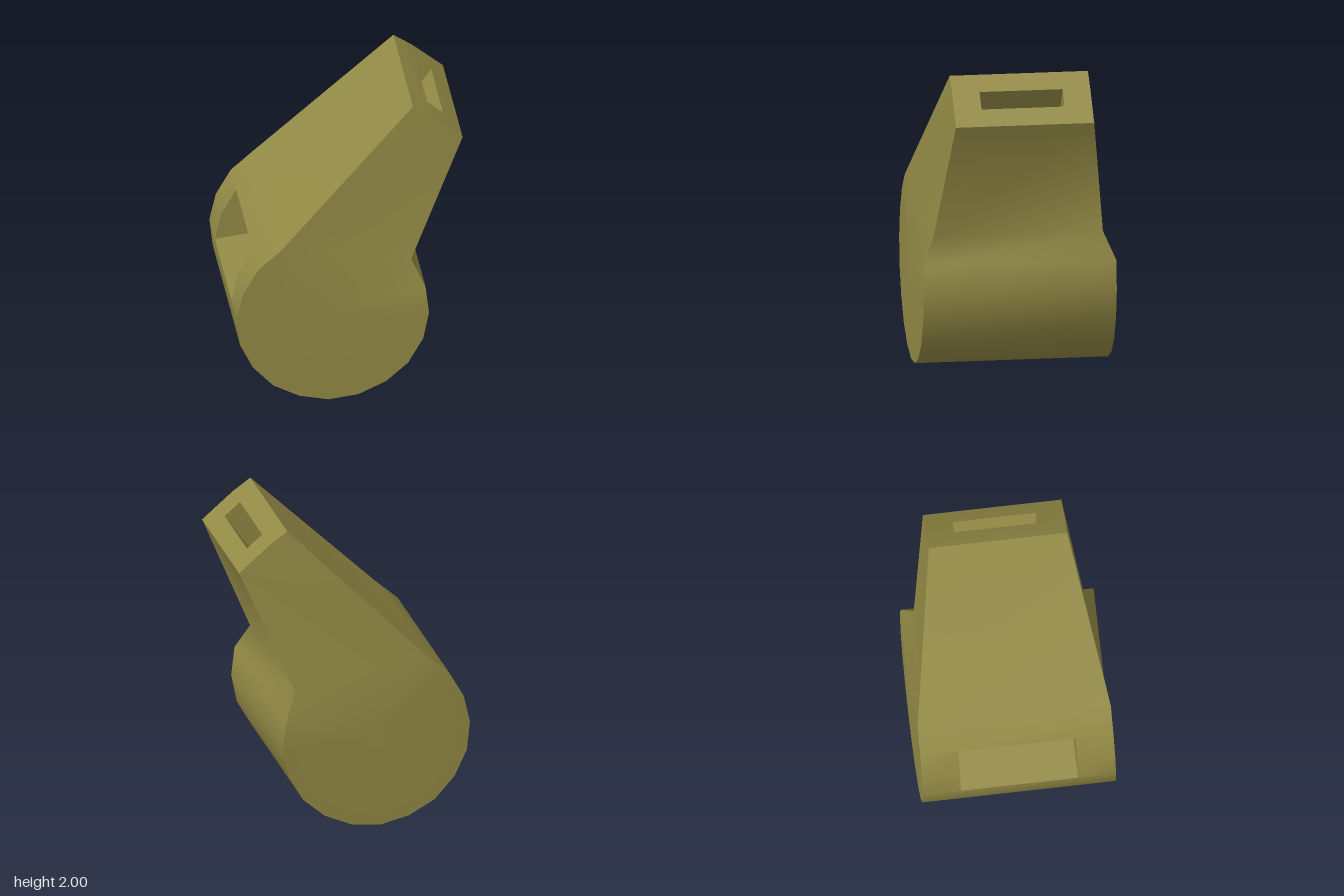
import * as THREE from 'three';
import { toCreasedNormals } from 'three/addons/utils/BufferGeometryUtils.js';

// Side outline, counter-clockwise: [x, y, half width]
const W = 0.61, T = 0.437;
const neckTop = [-0.45, 1.12, W];
const throat = [0.385, 0.945, 0.535];
const chamber = [
  [-0.595, 0.99, W], [-0.69, 0.82, W], [-0.73, 0.64, W], [-0.71, 0.45, W], [-0.63, 0.28, W],
  [-0.5, 0.135, W], [-0.335, 0.045, W], [-0.15, 0.003, W], [0.04, 0.025, W], [0.215, 0.105, W],
  [0.355, 0.23, W], [0.45, 0.4, W], [0.487, 0.585, W], [0.465, 0.775, W],
];
const tip = [[0.724, 1.75, T], [0.625, 1.835, T], [0.525, 1.92, T], [0.41, 2, T]];
const outline = [neckTop, ...chamber, throat, ...tip];
const centre = [-0.12, 0.61, W];

// Openings span whole outline segments and run inwards by "depth"
const openings = [
  { name: 'soundWindow', first: 1, last: 3, half: 0.37, depth: [0.29, 0.03] },
  { name: 'mouthSlot', first: 17, last: 18, half: 0.263, depth: [-0.29, -0.41] },
];

function createBuilder() {
  const pos = [];
  const tri = (...pts) => pts.forEach((p) => pos.push(...p));
  const quad = (a, b, c, d) => { tri(a, b, c); tri(a, c, d); };
  // Wall over outline segment a-b, from z0 down to z1 at each end
  const strip = (a, b, a0, a1, b0, b1) =>
    quad([a[0], a[1], a0], [a[0], a[1], a1], [b[0], b[1], b1], [b[0], b[1], b0]);
  const mesh = (name, material) => {
    const g = new THREE.BufferGeometry();
    g.setAttribute('position', new THREE.Float32BufferAttribute(pos, 3));
    const m = new THREE.Mesh(toCreasedNormals(g, 0.9), material);
    m.name = name;
    return m;
  };
  return { tri, quad, strip, mesh };
}

function buildShell(material) {
  const s = createBuilder();
  // Outer band, left open where an opening sits
  outline.forEach((a, i) => {
    const b = outline[(i + 1) % outline.length];
    const o = openings.find((q) => i >= q.first && i < q.last);
    if (o) {
      s.strip(a, b, a[2], o.half, b[2], o.half);
      s.strip(a, b, -o.half, -a[2], -o.half, -b[2]);
    } else {
      s.strip(a, b, a[2], -a[2], b[2], -b[2]);
    }
  });
  // Two cheeks: a fan over the round chamber and one over the tapering neck
  const cheek = (a, b, c) => {
    s.tri(a, b, c);
    s.tri(...[a, c, b].map(([x, y, z]) => [x, y, -z]));
  };
  const round = [neckTop, ...chamber, throat];
  round.forEach((p, i) => cheek(centre, p, round[(i + 1) % round.length]));
  const neck = [throat, ...tip];
  for (let i = 0; i < neck.length - 1; i++) cheek(neckTop, neck[i], neck[i + 1]);
  return s.mesh('whistleShell', material);
}

function buildRecess({ name, first, last, half, depth }, material) {
  const s = createBuilder();
  const rim = outline.slice(first, last + 1);
  const inner = rim.map(([x, y]) => [x + depth[0], y + depth[1]]);
  // Walls and floor follow the path in, along and out again
  const path = [rim[0], ...inner, rim[rim.length - 1]];
  for (let i = 0; i < path.length - 1; i++) s.strip(path[i], path[i + 1], half, -half, half, -half);
  // End walls
  for (let i = 0; i < rim.length - 1; i++) {
    const c = [rim[i], rim[i + 1], inner[i + 1], inner[i]];
    s.quad(...c.map((p) => [p[0], p[1], -half]));
    s.quad(...c.reverse().map((p) => [p[0], p[1], half]));
  }
  return s.mesh(name, material);
}

export function createModel() {
  const group = new THREE.Group();
  group.name = 'whistle';
  const material = new THREE.MeshStandardMaterial({ color: 0x938a45 });
  group.add(buildShell(material));
  openings.forEach((o) => group.add(buildRecess(o, material)));
  return group;
}
